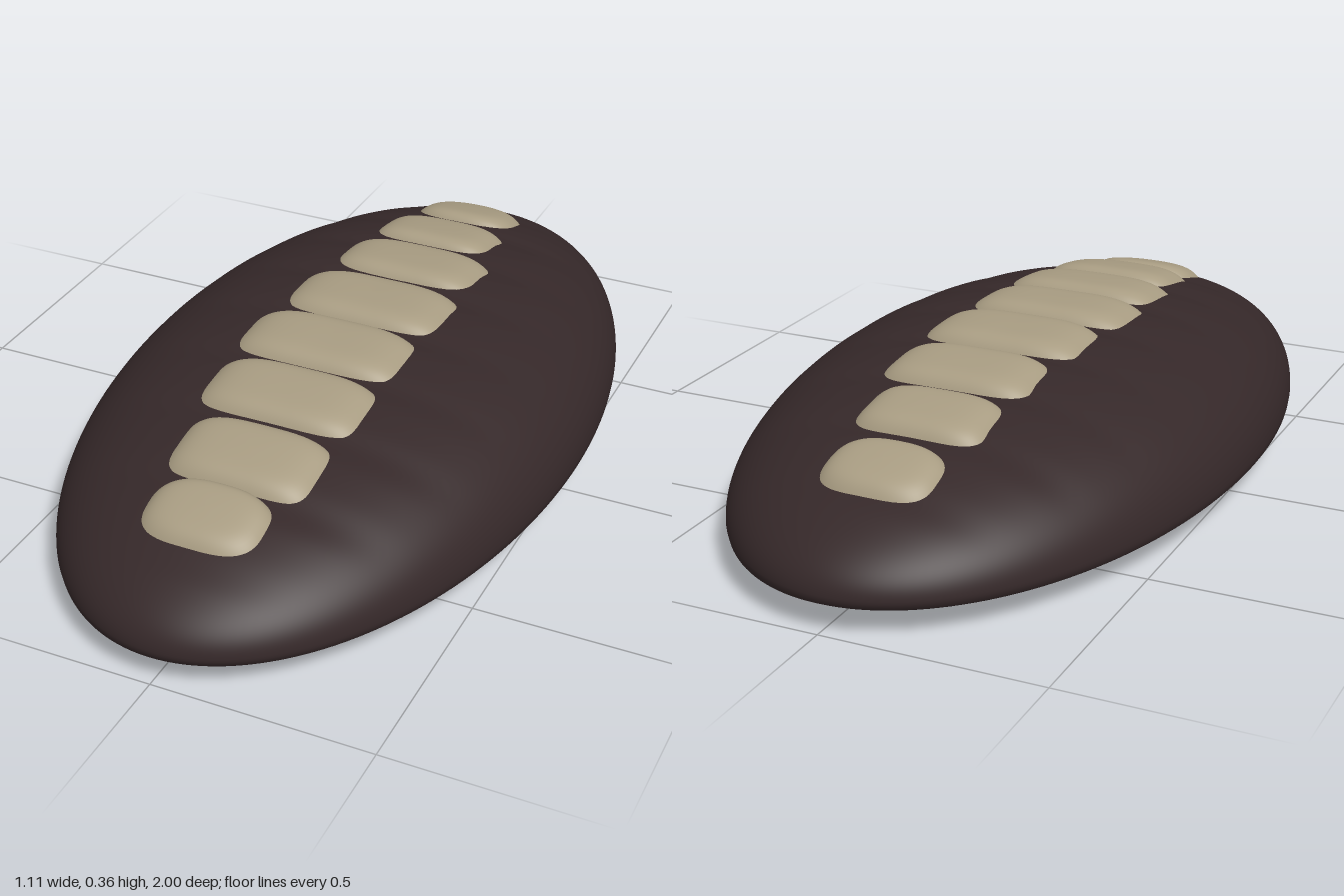
import * as THREE from 'three';

const HALF_W = 0.555, HALF_L = 1;

// Closed surface from rings; point(i, angle) returns [x, y, z]
function ringSurface(rings, segments, point) {
  const pos = [], index = [];
  for (let i = 0; i < rings; i++) {
    for (let j = 0; j < segments; j++) pos.push(...point(i, (j / segments) * Math.PI * 2));
  }
  for (let i = 0; i < rings - 1; i++) {
    for (let j = 0; j < segments; j++) {
      const a = i * segments + j, c = i * segments + (j + 1) % segments;
      const b = a + segments, d = c + segments;
      index.push(a, c, b, b, c, d);
    }
  }
  const g = new THREE.BufferGeometry();
  g.setAttribute('position', new THREE.Float32BufferAttribute(pos, 3));
  g.setIndex(index);
  g.computeVertexNormals();
  return g;
}

// Point on a rounded-rectangle outline
function superellipse(angle, a, b, n) {
  const c = Math.cos(angle), s = Math.sin(angle);
  return [
    a * Math.sign(c) * Math.abs(c) ** (2 / n),
    b * Math.sign(s) * Math.abs(s) ** (2 / n),
  ];
}

// Smooth dome: fuller at the flanks, more tapered toward the two ends
function domeHeight(x, z) {
  const u = x / HALF_W, v = z / HALF_L;
  const r2 = Math.min(1, u * u + v * v);
  const p = 2 + (r2 > 1e-9 ? 0.8 * u * u / r2 : 0);
  return 0.08 + 0.257 * Math.sqrt(Math.max(0, 1 - Math.sqrt(r2) ** p));
}

// Shallow folds running outward from the gaps between the plates
function fold(x, z) {
  const bend = z - 0.035 + 0.1 * x * x;
  const valley = Math.abs(Math.cos((Math.PI * bend) / 0.21)) ** 5;
  const fadeEnds = Math.max(0, 1 - (z / 0.9) ** 6);
  return -0.011 * valley * fadeEnds * Math.exp(-((x / 0.32) ** 2));
}

export function createModel() {
  const model = new THREE.Group();
  model.name = 'armouredSeaCreature';

  const girdleMat = new THREE.MeshStandardMaterial({ color: 0x352829 });
  girdleMat.name = 'dark brown skin';
  const plateMat = new THREE.MeshStandardMaterial({ color: 0xa89c82 });
  plateMat.name = 'pale plate';
  const footMat = new THREE.MeshStandardMaterial({ color: 0x6b4a2e });
  footMat.name = 'brown foot';

  const add = (name, geometry, material) => {
    const mesh = new THREE.Mesh(geometry, material);
    mesh.name = name;
    model.add(mesh);
  };

  // Body: domed top, rounded rim and a shallow underside
  const topRings = 70;
  const under = [[0.997, 0.068], [0.985, 0.061], [0.96, 0.056], [0.93, 0.053],
    [0.8, 0.048], [0.6, 0.042], [0.5, 0.05], [0, 0.05]];
  add('body', ringSurface(topRings + under.length, 180, (i, a) => {
    const top = i < topRings;
    const r = top ? Math.sin((i / (topRings - 1)) * Math.PI / 2) : under[i - topRings][0];
    const x = r * HALF_W * Math.cos(a), z = r * HALF_L * Math.sin(a);
    const y = top ? domeHeight(x, z) + fold(x, z) * (1 - r ** 6) : under[i - topRings][1];
    return [x, y, z];
  }), girdleMat);

  // Foot: long rounded pad with a bevelled edge
  const footProfile = [[1, 0.052], [0.97, 0.042], [0.93, 0.032], [0.85, 0.02],
    [0.75, 0.009], [0.65, 0.004], [0.5, 0.001], [0.25, 0], [0, 0]];
  add('foot', ringSurface(footProfile.length, 96, (i, a) => {
    const [s, y] = footProfile[i];
    const [x, z] = superellipse(a, 0.32 * s, 0.81 * s, 3.5);
    return [x, y + 0.01 * (z / 0.81) ** 2 * (1 - s ** 4), z];
  }), footMat);

  // Row of eight plates along the back: [left edge, right edge, back, front]
  const plates = [
    [-0.14, 0.125, -0.82, -0.645], [-0.16, 0.145, -0.615, -0.43],
    [-0.17, 0.19, -0.41, -0.21], [-0.19, 0.2, -0.19, 0.025],
    [-0.21, 0.19, 0.035, 0.24], [-0.195, 0.19, 0.25, 0.45],
    [-0.16, 0.18, 0.465, 0.66], [-0.14, 0.14, 0.655, 0.83],
  ];
  const plateRings = 16;
  plates.forEach(([x0, x1, z0, z1], k) => {
    const cx = (x0 + x1) / 2, cz = (z0 + z1) / 2;
    const end = k === 0 || k === plates.length - 1;
    add('plate' + (k + 1), ringSurface(plateRings, 64, (i, a) => {
      const s = Math.sin((i / (plateRings - 1)) * Math.PI / 2);
      const [dx, dz] = superellipse(a, s * (x1 - x0) / 2, s * (z1 - z0) / 2, end ? 2.8 : 4);
      const x = cx + dx, z = cz + dz;
      const lift = 0.021 * (1 - s ** 6);
      return [x, domeHeight(x, z) + lift - 0.006 * s ** 8 + (1 - s) * 0.001, z];
    }), plateMat);
  });

  return model;
}
